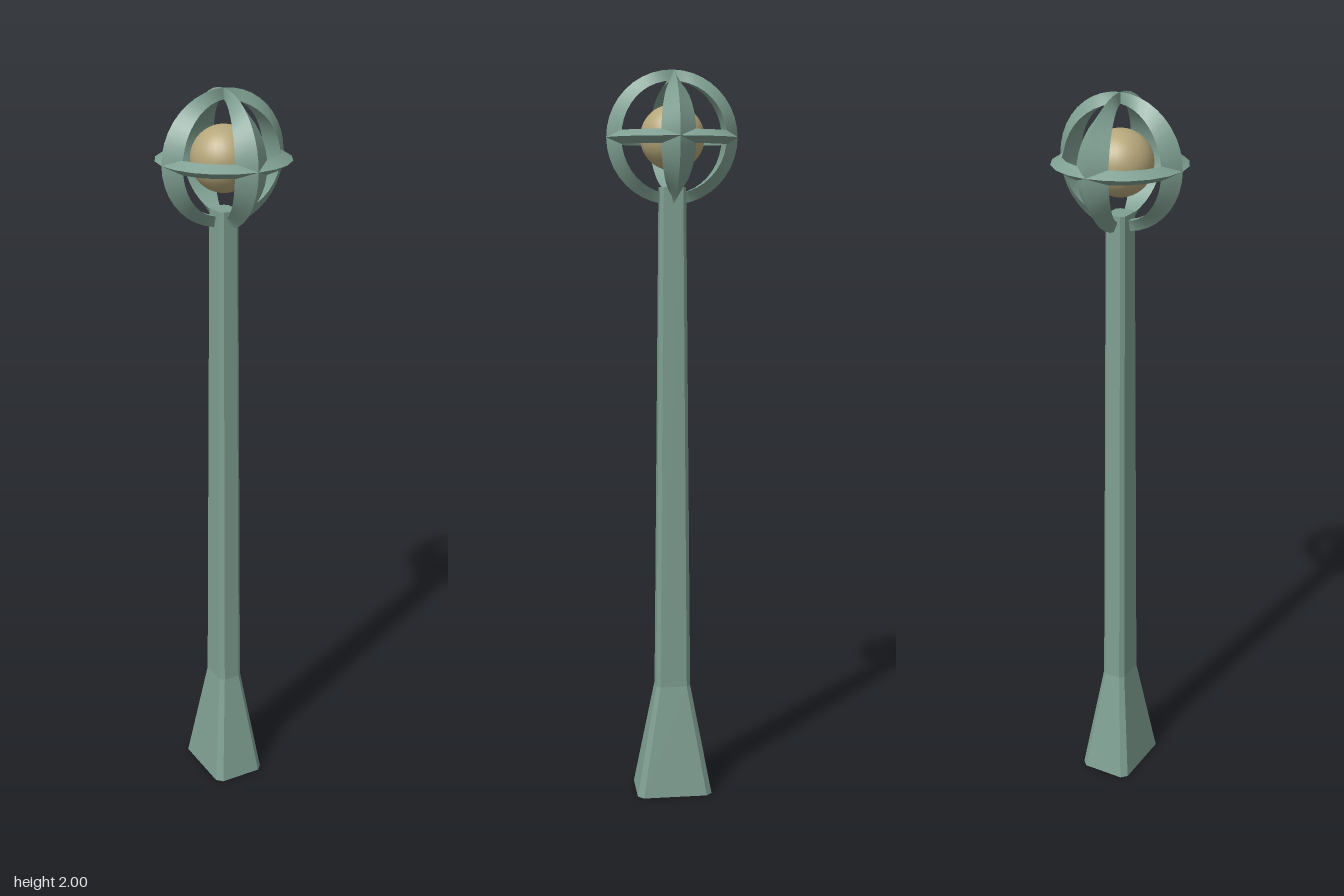
import * as THREE from 'three';
import { toCreasedNormals } from 'three/addons/utils/BufferGeometryUtils.js';

const CENTRE_Y = 1.824; // middle of the globe cage
const RIDGE = 0.176; // outer ridge radius of the cage
const EDGE = 0.147; // inner edge radius of the cage

// Joins a stack of equal closed cross-sections, listed bottom to top and
// counter-clockwise from above, with optional end caps.
function loft(rows, crease, capped) {
  const n = rows[0].length;
  const index = [];
  for (let r = 0; r < rows.length - 1; r++) {
    for (let i = 0; i < n; i++) {
      const a = r * n + i, b = r * n + (i + 1) % n;
      index.push(a, b, b + n, a, b + n, a + n);
    }
  }
  if (capped) {
    const top = (rows.length - 1) * n;
    for (let i = 1; i < n - 1; i++) {
      index.push(0, i + 1, i, top, top + i, top + i + 1);
    }
  }
  const geometry = new THREE.BufferGeometry();
  geometry.setAttribute('position', new THREE.Float32BufferAttribute(rows.flat(2), 3));
  geometry.setIndex(index);
  return toCreasedNormals(geometry, crease);
}

// Rectangle with chamfered corners at height y
function postSection(y, w, d, c) {
  return [
    [w, y, d - c], [w, y, c - d], [w - c, y, -d], [c - w, y, -d],
    [-w, y, c - d], [-w, y, d - c], [c - w, y, d], [w - c, y, d],
  ];
}

// Quarter of the cage: a ridged strap that narrows to a point at both poles
function strapGeometry() {
  const rows = [];
  const steps = 20;
  const halfAngle = Math.PI / 10;
  for (let i = 0; i <= steps; i++) {
    const t = Math.PI * (1 - i / steps);
    const s = Math.sin(t), c = Math.cos(t);
    const x = EDGE * Math.cos(halfAngle) * s;
    const z = EDGE * Math.sin(halfAngle) * s;
    rows.push([[x, EDGE * c, z], [RIDGE * s, RIDGE * c, 0], [x, EDGE * c, -z]]);
  }
  return loft(rows, 0.6, false);
}

export function createModel() {
  const model = new THREE.Group();
  model.name = 'lampPost';
  const metal = new THREE.MeshStandardMaterial({ color: 0x7f9f92 });
  const glass = new THREE.MeshStandardMaterial({ color: 0xb5a67a });

  const add = (parent, name, geometry, material) => {
    const mesh = new THREE.Mesh(geometry, material);
    mesh.name = name;
    parent.add(mesh);
    return mesh;
  };

  // Flared foot running into a slim tapering shaft
  add(model, 'post', loft([
    postSection(0, 0.075, 0.105, 0.016),
    postSection(0.31, 0.034, 0.048, 0.011),
    postSection(1.695, 0.028, 0.035, 0.009),
  ], 0.1, true), metal);

  // Cage around the lamp
  const cage = new THREE.Group();
  cage.name = 'cage';
  cage.position.y = CENTRE_Y;
  model.add(cage);

  const strap = strapGeometry();
  for (let i = 0; i < 4; i++) {
    add(cage, `strap${i + 1}`, strap, metal).rotation.y = i * Math.PI / 2;
  }

  // Equator band with a triangular section
  const profile = [[EDGE, -0.018], [RIDGE, 0], [EDGE, 0.018], [EDGE, -0.018]]
    .map(([x, y]) => new THREE.Vector2(x, y));
  add(cage, 'equatorBand', toCreasedNormals(new THREE.LatheGeometry(profile, 20), 0.6), metal);

  // Lamp globe
  add(cage, 'globe', new THREE.SphereGeometry(0.086, 32, 20), glass);

  return model;
}
